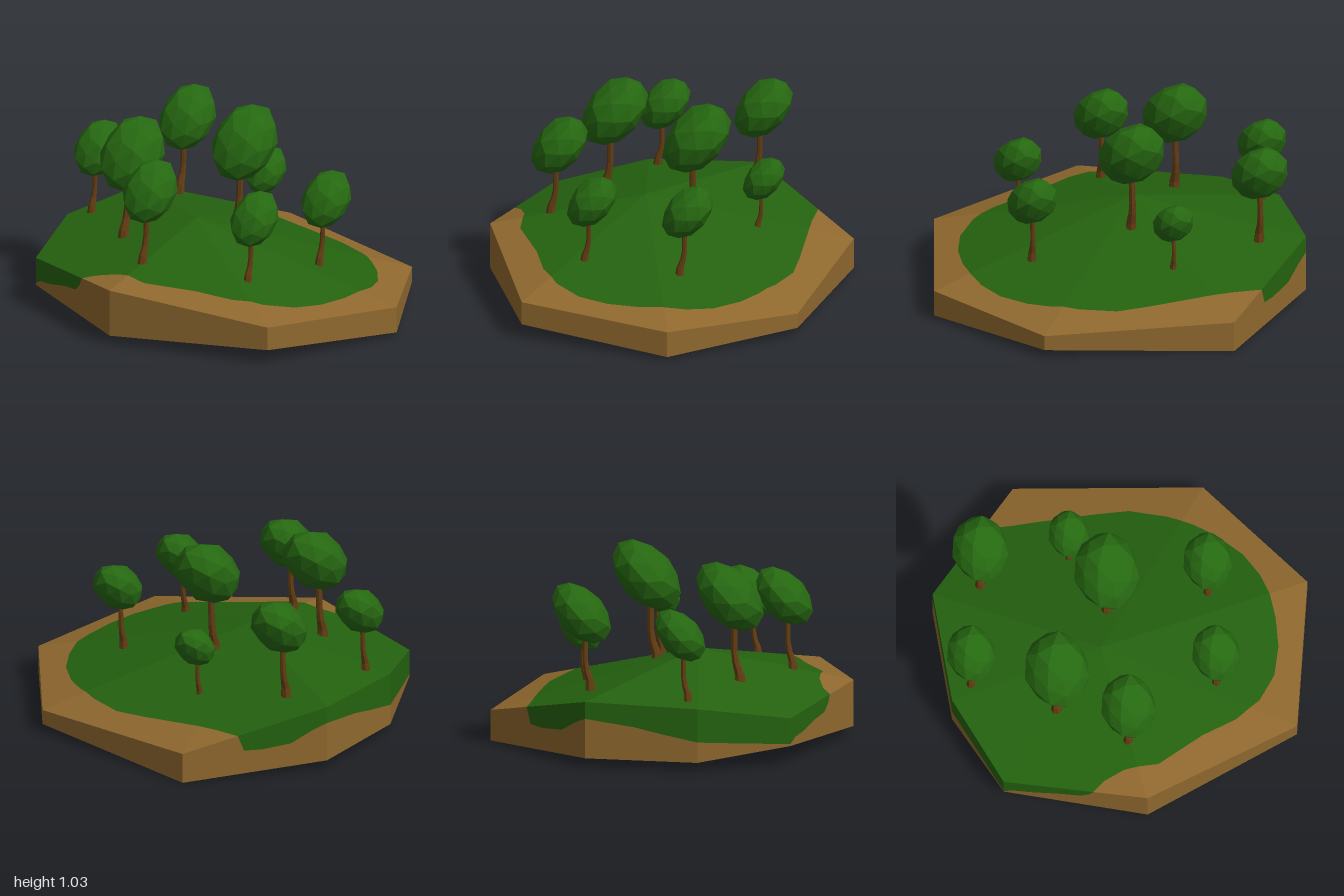
import * as THREE from 'three';

const material = (name, color, extra = {}) => {
  const m = new THREE.MeshStandardMaterial({ color, ...extra });
  m.name = name;
  return m;
};

// island corners: x, z, top height, bottom height
const CORNERS = [
  [1, 0, 0.16, 0.02], [0.7, 0.77, 0.205, 0.08], [-0.18, 0.95, 0.295, 0.045], [-0.87, 0.62, 0.255, 0.105],
  [-1, 0.13, 0.335, 0.045], [-0.92, -0.46, 0.355, 0.05], [-0.32, -0.96, 0.165, 0], [0.64, -0.68, 0.125, 0.045],
];
const PEAK = [-0.18, 0.47, 0.13];

// edge of the grass on the top face
const GRASS = [
  [-0.55, -0.77], [-0.4, -0.74], [-0.17, -0.71], [0.05, -0.68], [0.22, -0.65], [0.4, -0.56], [0.52, -0.475],
  [0.62, -0.38], [0.72, -0.24], [0.77, -0.1], [0.785, 0.02], [0.775, 0.16], [0.74, 0.32], [0.67, 0.47],
  [0.55, 0.59], [0.4, 0.66], [0.2, 0.7], [0.05, 0.75], [-0.07, 0.79], [-0.25, 0.77], [-0.37, 0.79],
  [-0.44, 0.826], [-0.87, 0.62], [-1, 0.13], [-0.92, -0.46],
];

// grass hanging over the walls: x, z, share of the wall covered
const DROP = [
  [-0.44, 0.826, 0], [-0.46, 0.816, 0.2], [-0.5, 0.797, 0.38], [-0.6, 0.749, 0.45], [-0.74, 0.682, 0.66],
  [-0.82, 0.644, 0.74], [-0.87, 0.62, 0.93], [-0.95, 0.32, 0.7], [-1, 0.13, 0.62], [-0.975, -0.06, 0.5],
  [-0.95, -0.2, 0.4], [-0.92, -0.46, 0.3], [-0.86, -0.51, 0.36], [-0.77, -0.585, 0.52], [-0.65, -0.685, 0.5],
  [-0.575, -0.748, 0.42], [-0.55, -0.77, 0],
];

const angleOf = ([x, z]) => (Math.atan2(z - PEAK[2], x - PEAK[0]) + Math.PI * 2) % (Math.PI * 2);

// where a ray from the peak meets a closed loop
function rayHit(loop, angle) {
  const dx = Math.cos(angle), dz = Math.sin(angle);
  for (let i = 0; i < loop.length; i++) {
    const a = loop[i], b = loop[(i + 1) % loop.length];
    const ax = a[0] - PEAK[0], az = a[1] - PEAK[2], ex = b[0] - a[0], ez = b[1] - a[1];
    const det = dx * ez - dz * ex;
    if (Math.abs(det) < 1e-9) continue;
    const r = (ax * ez - az * ex) / det;
    const t = (ax * dz - az * dx) / det;
    if (r > 0 && t > -1e-6 && t < 1 + 1e-6) return { r, t, a, b };
  }
}

function dropAt(angle) {
  for (let i = 0; i < DROP.length - 1; i++) {
    const a = angleOf(DROP[i]), b = angleOf(DROP[i + 1]);
    if (angle >= a && angle <= b) return THREE.MathUtils.lerp(DROP[i][2], DROP[i + 1][2], (angle - a) / (b - a));
  }
  return 0;
}

// one radial slice: grass edge, rim, hanging edge and base
function slice(angle) {
  const { lerp } = THREE.MathUtils;
  const o = rayHit(CORNERS, angle);
  const top = lerp(o.a[2], o.b[2], o.t), bottom = lerp(o.a[3], o.b[3], o.t);
  let r = rayHit(GRASS, angle).r;
  if (o.r - r < 0.012) r = o.r;
  const at = (d, y) => [PEAK[0] + Math.cos(angle) * d, y, PEAK[2] + Math.sin(angle) * d];
  return {
    edge: at(r, lerp(PEAK[1], top, r / o.r)),
    rim: at(o.r, top),
    hang: at(o.r, lerp(top, bottom, dropAt(angle))),
    base: at(o.r, bottom),
  };
}

function flatMesh(name, triangles, mat) {
  const g = new THREE.BufferGeometry();
  g.setAttribute('position', new THREE.Float32BufferAttribute(triangles.flat(2), 3));
  g.computeVertexNormals();
  const mesh = new THREE.Mesh(g, mat);
  mesh.name = name;
  return mesh;
}

function createIsland(grassMat, dirtMat) {
  const angles = [...CORNERS, ...GRASS, ...DROP].map(angleOf).sort((a, b) => a - b)
    .filter((a, i, all) => i === 0 || a - all[i - 1] > 1e-4);
  const slices = angles.map(slice);
  const grass = [], dirt = [], walls = [], hanging = [], under = [];
  const quad = (list, a, b, c, d) => list.push([a, b, c], [a, c, d]);
  slices.forEach((p, i) => {
    const q = slices[(i + 1) % slices.length];
    grass.push([PEAK, q.edge, p.edge]);
    quad(dirt, p.edge, q.edge, q.rim, p.rim);
    quad(hanging, p.rim, q.rim, q.hang, p.hang);
    quad(walls, p.hang, q.hang, q.base, p.base);
    under.push([[0, 0.045, 0], p.base, q.base]);
  });
  // drop faces without area
  const solid = (list) => list.filter(([a, b, c]) => {
    const v = [a, b, c].map((p) => new THREE.Vector3(...p));
    return new THREE.Triangle(...v).getArea() > 1e-7;
  });
  const island = new THREE.Group();
  island.name = 'island';
  island.add(
    flatMesh('grassTop', solid(grass), grassMat),
    flatMesh('grassOverhang', solid(hanging), grassMat),
    flatMesh('dirtRim', solid(dirt), dirtMat),
    flatMesh('dirtWalls', solid(walls), dirtMat),
    flatMesh('underside', solid(under), dirtMat),
  );
  return island;
}

// trunk of a tree one unit tall, flared and curved at the foot
function trunkGeometry() {
  const g = new THREE.CylinderGeometry(1, 1, 0.56, 7, 6);
  g.translate(0, 0.26, 0);
  const p = g.attributes.position;
  for (let i = 0; i < p.count; i++) {
    const y = p.getY(i);
    const foot = Math.pow(1 - Math.min(1, Math.max(0, y / 0.3)), 2);
    const radius = 0.027 + 0.024 * foot;
    const bend = 0.035 + 0.05 * (1 - THREE.MathUtils.smoothstep(y, 0.02, 0.24));
    p.setXYZ(i, p.getX(i) * radius - 0.03 + 0.03 * y, y, p.getZ(i) * radius + bend);
  }
  g.computeVertexNormals();
  return g;
}

// faceted, leaning crown
function crownGeometry() {
  const g = new THREE.IcosahedronGeometry(1, 1);
  const p = g.attributes.position;
  for (let i = 0; i < p.count; i++) {
    const x = p.getX(i), y = p.getY(i), z = p.getZ(i);
    const k = 1.01 + 0.05 * Math.sin(5 * x + 3 * y + 1) * Math.cos(4 * z - 2 * y);
    p.setXYZ(i, x * k * 0.265, 0.715 + y * k * 0.288, z * k * 0.255 - y * k * 0.11);
  }
  g.computeVertexNormals();
  return g;
}

export function createModel() {
  const grassMat = material('grass green', 0x24620f);
  const dirtMat = material('dirt brown', 0x8f682e);
  const barkMat = material('bark brown', 0x633d12, { flatShading: true });
  const leafMat = material('leaf green', 0x266811, { flatShading: true });

  const model = new THREE.Group();
  model.name = 'groveIsland';
  model.add(createIsland(grassMat, dirtMat));

  // trees: crown centre x, z, foot height, total height
  const trunk = trunkGeometry(), crown = crownGeometry();
  const trees = [
    [-0.65, -0.48, 0.37, 0.56], [-0.16, -0.49, 0.28, 0.4], [-0.06, -0.14, 0.37, 0.65], [0.485, -0.1, 0.285, 0.49],
    [-0.865, 0.04, 0.36, 0.48], [-0.475, 0.3, 0.36, 0.64], [-0.17, 0.585, 0.36, 0.54], [0.37, 0.405, 0.305, 0.475],
  ];
  trees.forEach(([x, z, y, h], i) => {
    const tree = new THREE.Group();
    tree.name = `tree${i + 1}`;
    const parts = { trunk: new THREE.Mesh(trunk, barkMat), crown: new THREE.Mesh(crown, leafMat) };
    for (const [name, mesh] of Object.entries(parts)) {
      mesh.name = name;
      tree.add(mesh);
    }
    tree.position.set(x, y, z);
    tree.scale.setScalar(h);
    model.add(tree);
  });
  return model;
}
